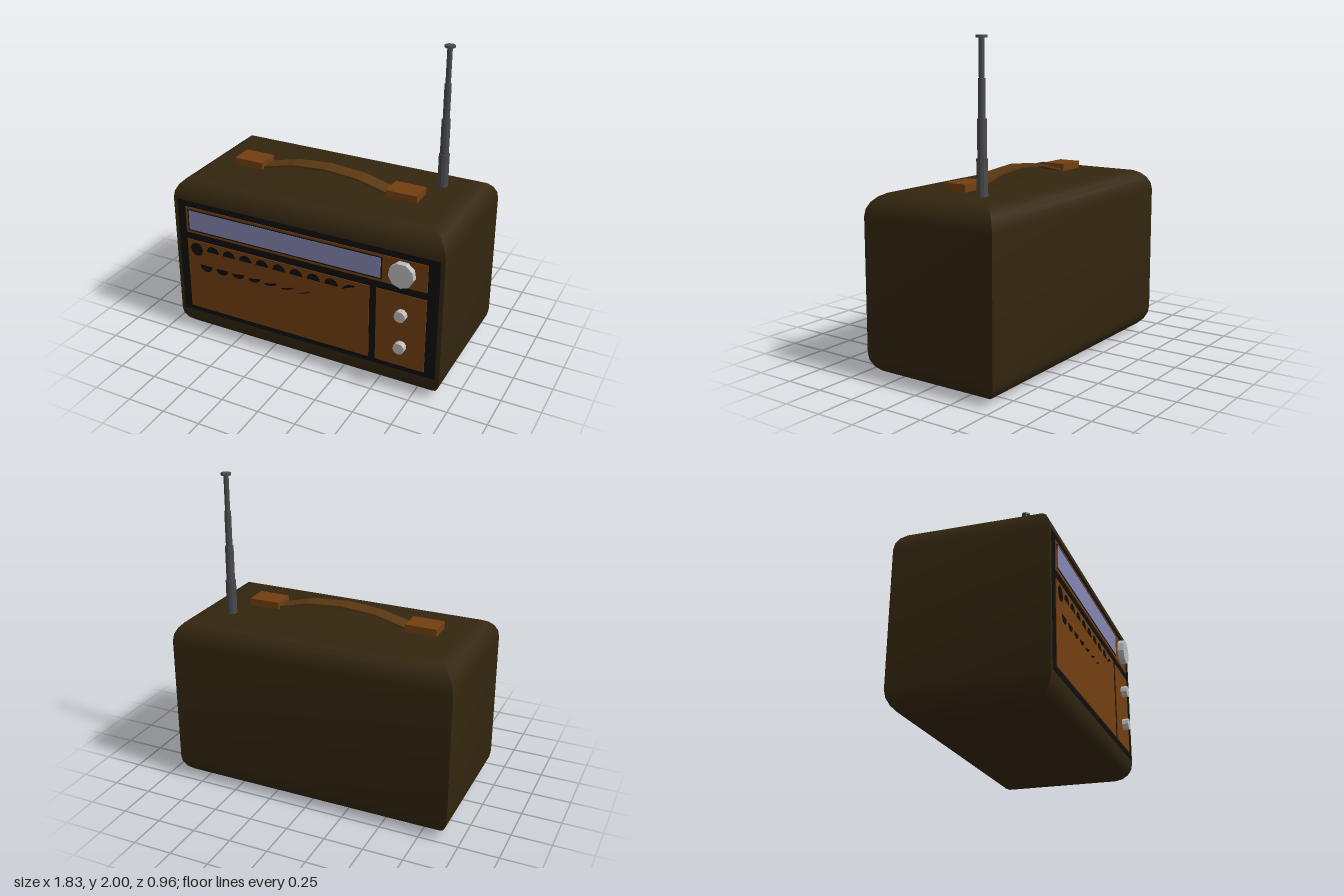
import * as THREE from 'three';
import { toCreasedNormals } from 'three/addons/utils/BufferGeometryUtils.js';

const paint = (name, color) => {
  const m = new THREE.MeshStandardMaterial({ color });
  m.name = name;
  return m;
};

export function createModel() {
  const radio = new THREE.Group();
  radio.name = 'portableRadio';
  const brown = paint('darkBrown', 0x33260f);
  const black = paint('black', 0x0e0e0e);
  const wood = paint('wood', 0x733f10);
  const leather = paint('leather', 0x593812);
  const glass = paint('paleGlass', 0x8586b2);
  const silver = paint('silver', 0xbdbdbd);
  const steel = paint('darkSteel', 0x4a4a4d);

  const add = (name, geometry, material, x = 0, y = 0, z = 0) => {
    const mesh = new THREE.Mesh(geometry, material);
    mesh.name = name;
    mesh.position.set(x, y, z);
    radio.add(mesh);
    return mesh;
  };
  // Box given by its limits on each axis
  const box = (name, material, x0, x1, y0, y1, z0, z1) =>
    add(name, new THREE.BoxGeometry(x1 - x0, y1 - y0, z1 - z0), material,
      (x0 + x1) / 2, (y0 + y1) / 2, (z0 + z1) / 2);

  // Case: stacked rectangles, inset near top and bottom, with mitred corners
  add('case', caseGeometry(0.917, 0.458, 1.105, 0.14, 5), brown, 0, 0, -0.021);

  // Front fascia and its wooden panels
  box('fascia', black, -0.89, 0.89, 0.155, 0.96, 0.432, 0.439);
  box('dialPanel', wood, -0.83, 0.82, 0.74, 0.92, 0.437, 0.444);
  box('speakerPanel', wood, -0.83, 0.455, 0.19, 0.69, 0.437, 0.444);
  box('controlPanel', wood, 0.5, 0.82, 0.19, 0.69, 0.437, 0.444);
  box('dialFrame', black, -0.812, 0.535, 0.757, 0.905, 0.442, 0.4455);
  box('dialWindow', glass, -0.805, 0.527, 0.765, 0.898, 0.443, 0.447);

  // Speaker openings: one disc, then upper and lower half discs
  add('speakerHole', new THREE.CircleGeometry(0.046, 12), black, -0.76, 0.628, 0.446);
  const slot = (x, y, depth, tilt) => {
    const points = [];
    for (let i = 0; i <= 8; i++) {
      const a = Math.PI * i / 8;
      points.push(new THREE.Vector2(0.046 * Math.cos(a), depth * Math.sin(a)));
    }
    add('speakerSlot', new THREE.ShapeGeometry(new THREE.Shape(points)), black, x, y, 0.446)
      .rotation.z = tilt;
  };
  for (let i = 1; i < 9; i++) slot(-0.76 + i * 0.1205, 0.628, 0.045, 0);
  slot(0.322, 0.641, 0.018, 0.38);
  for (let i = 0; i < 7; i++) slot(-0.695 + i * 0.119, 0.523, -0.046 + i * 0.0065, i * 0.06);

  // Knobs
  const knob = (name, y, r, sides) =>
    add(name, toCreasedNormals(new THREE.CylinderGeometry(r, r, 0.044, sides), 0.4), silver, 0.668, y, 0.461)
      .rotation.x = Math.PI / 2;
  knob('tuningKnob', 0.832, 0.081, 9);
  knob('volumeKnob', 0.555, 0.037, 9);
  knob('toneKnob', 0.333, 0.037, 9);

  // Handle: two mounts and an arched strap
  for (const x of [-0.665, 0.395]) box('handleMount', wood, x, x + 0.2, 1.1, 1.152, -0.052, 0.096);
  const arch = [[-0.5, 1.112], [-0.465, 1.122], [-0.26, 1.173], [-0.035, 1.192],
    [0.2, 1.173], [0.395, 1.122], [0.43, 1.112]];
  const outline = [...arch, ...arch.map(([x, y]) => [x, y - 0.015]).reverse()];
  const strap = new THREE.Shape(outline.map(([x, y]) => new THREE.Vector2(x, y)));
  add('handleStrap', new THREE.ExtrudeGeometry(strap, { depth: 0.106, bevelEnabled: false }),
    leather, 0, 0, -0.031);

  // Telescopic antenna
  const stages = [[0.033, 1.09, 1.32], [0.027, 1.32, 1.543], [0.021, 1.543, 1.765],
    [0.016, 1.765, 1.988], [0.032, 1.986, 2]];
  stages.forEach(([r, y0, y1], i) =>
    add(i < 4 ? 'antennaStage' : 'antennaTip',
      toCreasedNormals(new THREE.CylinderGeometry(r, r, y1 - y0, 10), 0.4),
      steel, 0.64, (y0 + y1) / 2, -0.21));

  return radio;
}

function caseGeometry(hx, hz, height, radius, steps) {
  // Quarter-round profile at bottom and top as [inset, y]
  const profile = [];
  for (let i = 0; i <= steps; i++) {
    const a = i / steps * Math.PI / 2;
    profile.push([radius * (1 - Math.sin(a)), radius * (1 - Math.cos(a))]);
  }
  profile.push(...profile.map(([d, y]) => [d, height - y]).reverse());
  const positions = [];
  const index = [];
  for (const [d, y] of profile) {
    const x = hx - d, z = hz - d;
    positions.push(-x, y, z, x, y, z, x, y, -z, -x, y, -z);
  }
  for (let r = 0; r < profile.length - 1; r++) {
    for (let c = 0; c < 4; c++) {
      const a = r * 4 + c, b = r * 4 + (c + 1) % 4;
      index.push(a, b, b + 4, a, b + 4, a + 4);
    }
  }
  const t = (profile.length - 1) * 4;
  index.push(0, 2, 1, 0, 3, 2, t, t + 1, t + 2, t, t + 2, t + 3);
  const g = new THREE.BufferGeometry();
  g.setAttribute('position', new THREE.Float32BufferAttribute(positions, 3));
  g.setIndex(index);
  return toCreasedNormals(g, 0.5);
}
